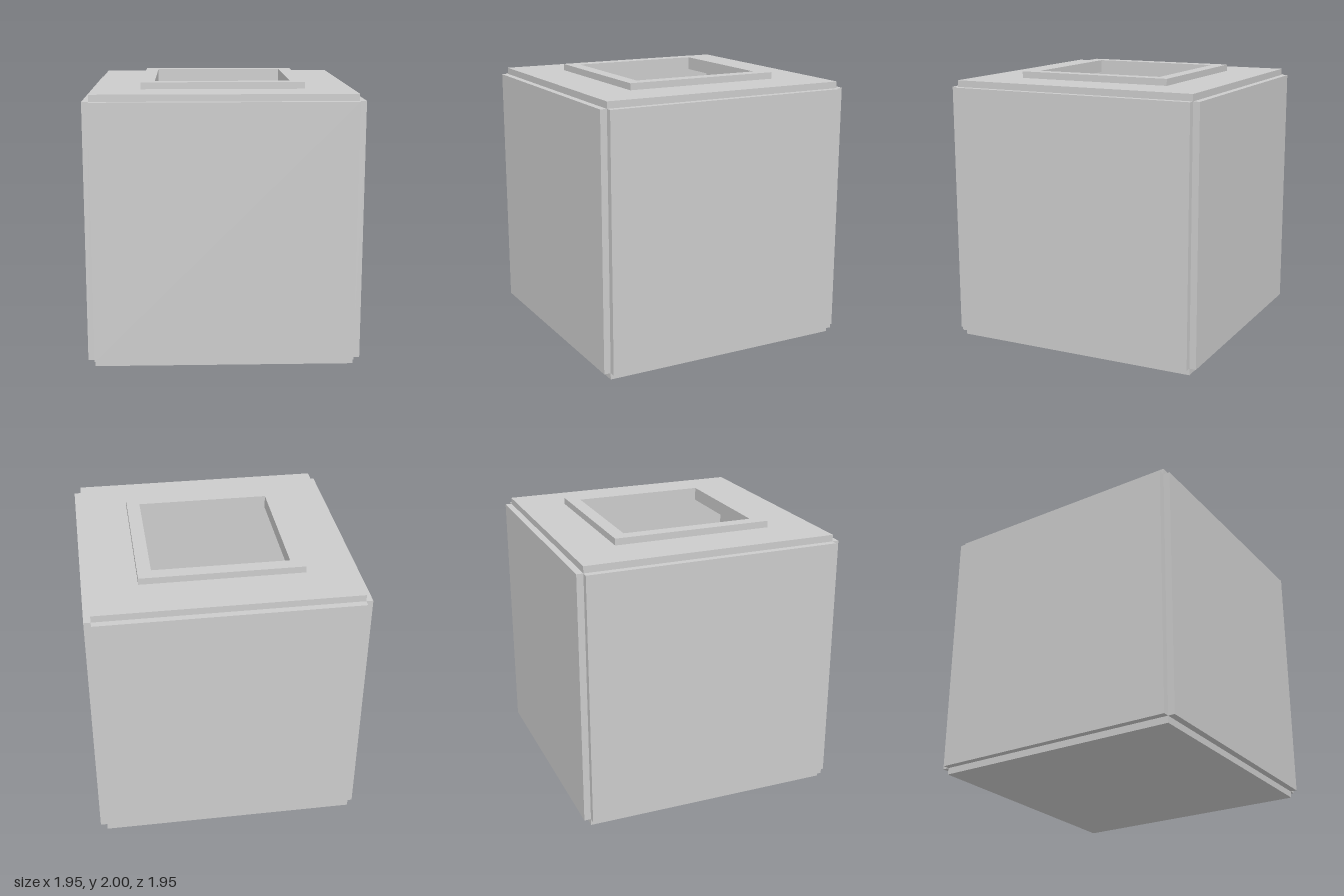
import * as THREE from 'three';

const T = 2 / 41;      // panel thickness
const S = 38 * T;      // panel side
const HOLE = 20 * T;   // opening side
const RIM = 24 * T;    // rim outer side

const material = new THREE.MeshStandardMaterial({ color: 0xcccccc, flatShading: true });

function square(Type, side) {
  const h = side / 2;
  return new Type([[-h, -h], [h, -h], [h, h], [-h, h]].map(([x, y]) => new THREE.Vector2(x, y)));
}

// Flat square ring lying horizontally with its underside at the given height
function ring(name, side, y) {
  const shape = square(THREE.Shape, side);
  shape.holes.push(square(THREE.Path, HOLE));
  const geometry = new THREE.ExtrudeGeometry(shape, { depth: T, bevelEnabled: false });
  geometry.rotateX(-Math.PI / 2);
  const mesh = new THREE.Mesh(geometry, material);
  mesh.name = name;
  mesh.position.y = y;
  return mesh;
}

export function createModel() {
  const group = new THREE.Group();
  group.name = 'hollowBox';

  // Base panel
  const base = new THREE.Mesh(new THREE.BoxGeometry(S, T, S), material);
  base.name = 'basePanel';
  base.position.y = T / 2;
  group.add(base);

  // Four side panels, meeting only along their inner edges
  const wall = new THREE.BoxGeometry(S, S, T);
  ['frontPanel', 'leftPanel', 'backPanel', 'rightPanel'].forEach((name, i) => {
    const a = (i * Math.PI) / 2;
    const r = (S + T) / 2;
    const mesh = new THREE.Mesh(wall, material);
    mesh.name = name;
    mesh.position.set(Math.sin(a) * r, T + S / 2, Math.cos(a) * r);
    mesh.rotation.y = a;
    group.add(mesh);
  });

  // Top panel with the opening, and the raised rim around it
  group.add(ring('topPanel', S, T + S), ring('openingRim', RIM, 2 * T + S));

  return group;
}
